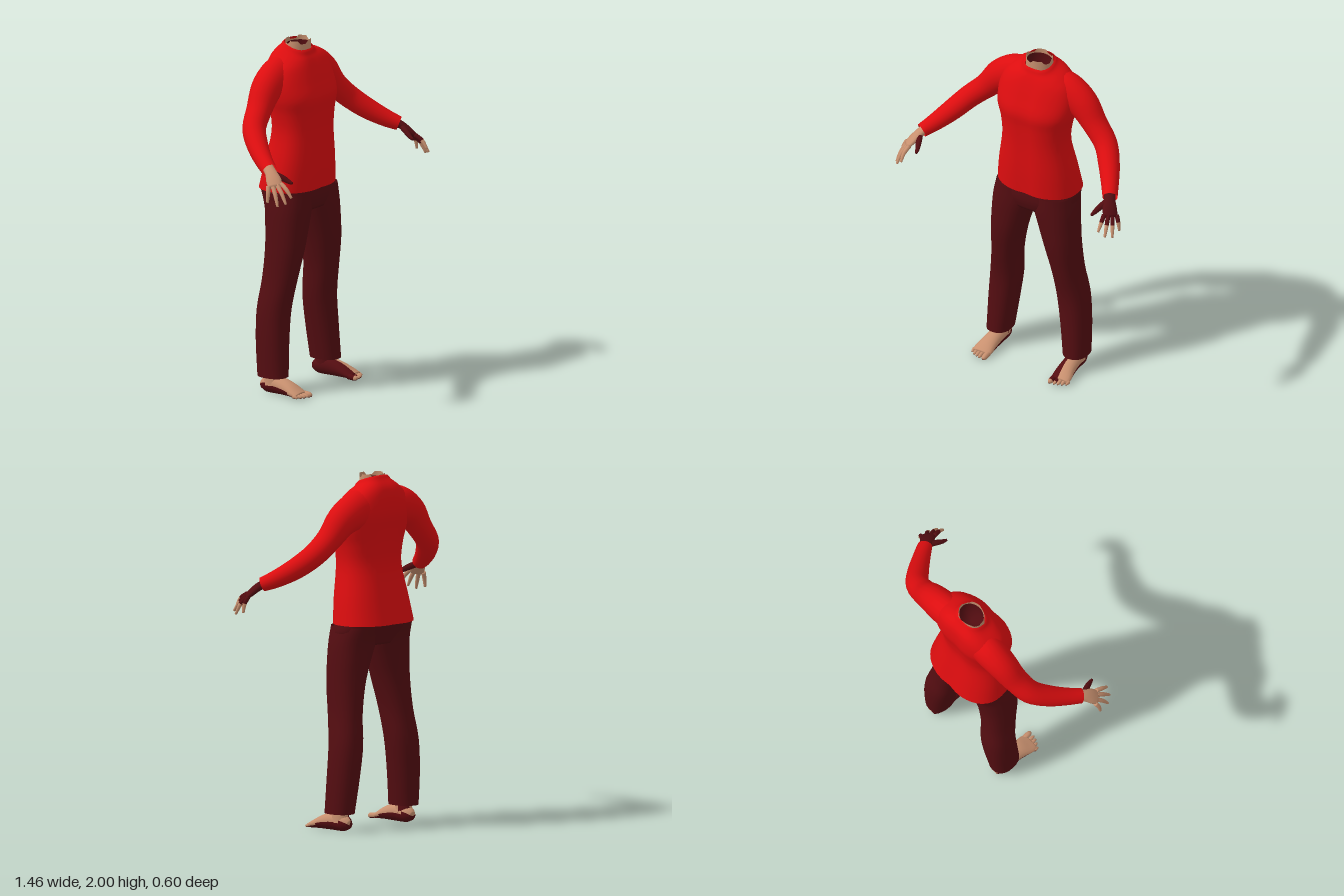
import * as THREE from 'three';

const mat = (name, color, side = THREE.FrontSide) => {
  const m = new THREE.MeshStandardMaterial({ color, side });
  m.name = name;
  return m;
};
const V = (x, y, z) => new THREE.Vector3(x, y, z);

// Catmull-Rom resampling of rows of numbers
function smooth(rows, steps) {
  const out = [], at = i => rows[Math.max(0, Math.min(rows.length - 1, i))];
  for (let i = 0; i < rows.length - 1; i++) {
    for (let k = 0; k < steps; k++) {
      const t = k / steps;
      out.push(at(i).map((b, c) => {
        const a = at(i - 1)[c], d = at(i + 1)[c], e = at(i + 2)[c];
        return b + 0.5 * t * (d - a + t * (2 * a - 5 * b + 4 * d - e + t * (3 * (b - d) + e - a)));
      }));
    }
  }
  out.push(rows[rows.length - 1]);
  return out;
}

// Skin over a list of rings; pick(ring, angle) selects the material index
function loft(name, rings, mats, { side = 1, pick = () => 0, capStart = false, capEnd = false } = {}) {
  const n = rings[0].length, pos = [], faces = mats.map(() => []);
  const add = (m, a, b, c) => faces[m].push(...(side > 0 ? [a, b, c] : [a, c, b]));
  rings.flat().forEach(p => pos.push(p.x * side, p.y, p.z));
  for (let i = 0; i < rings.length - 1; i++) {
    for (let j = 0; j < n; j++) {
      const a = i * n + j, b = i * n + (j + 1) % n;
      const m = pick(i / (rings.length - 1), ((j + 0.5) / n) * Math.PI * 2);
      add(m, a, b, b + n);
      add(m, a, b + n, a + n);
    }
  }
  const cap = (i, flip) => {
    const c = rings[i].reduce((s, p) => s.add(p), V(0, 0, 0)).divideScalar(n);
    const id = pos.length / 3;
    pos.push(c.x * side, c.y, c.z);
    for (let j = 0; j < n; j++) {
      const a = i * n + j, b = i * n + (j + 1) % n;
      const m = pick(i ? 1 : 0, ((j + 0.5) / n) * Math.PI * 2);
      flip ? add(m, id, b, a) : add(m, id, a, b);
    }
  };
  if (capStart) cap(0, true);
  if (capEnd) cap(rings.length - 1, false);
  const g = new THREE.BufferGeometry();
  g.setAttribute('position', new THREE.Float32BufferAttribute(pos, 3));
  g.setIndex(faces.flat());
  let start = 0;
  faces.forEach((f, m) => { if (f.length) g.addGroup(start, f.length, m); start += f.length; });
  g.computeVertexNormals();
  const mesh = new THREE.Mesh(g, mats.length > 1 ? mats : mats[0]);
  mesh.name = name;
  return mesh;
}

// Horizontal rings from rows [y, xMin, xMax, zFront, zBack, tilt]
function stack(rows, n, power = 2, groove = 0) {
  const e = 2 / power, bend = v => Math.sign(v) * Math.abs(v) ** e;
  return rows.map(([y, x0, x1, zf, zb, tilt = 0]) => Array.from({ length: n }, (_, j) => {
    const a = (j / n) * Math.PI * 2;
    const x = (x0 + x1) / 2 + (x1 - x0) / 2 * bend(Math.cos(a));
    const dent = 1 - groove * Math.exp(-((x / 0.05) ** 2));
    const z = (zf + zb) / 2 - (zf - zb) / 2 * bend(Math.sin(a)) * dent;
    return V(x, y - tilt * (z + 0.12), z);
  }));
}

// Rings along a path from rows [x, y, z, halfWidth, halfThickness]
function sweep(rows, n, hint) {
  return rows.map((r, i) => {
    const p = rows[Math.max(0, i - 1)], q = rows[Math.min(rows.length - 1, i + 1)];
    const d = V(q[0] - p[0], q[1] - p[1], q[2] - p[2]).normalize();
    const u = hint.clone().addScaledVector(d, -hint.dot(d)).normalize();
    const v = d.clone().cross(u);
    return Array.from({ length: n }, (_, j) => {
      const a = (j / n) * Math.PI * 2;
      return V(r[0], r[1], r[2]).addScaledVector(u, r[3] * Math.cos(a)).addScaledVector(v, r[4] * Math.sin(a));
    });
  });
}

export function createModel() {
  const group = new THREE.Group();
  group.name = 'figure';
  const red = mat('red sweater', 0xdd0d0f, THREE.DoubleSide);
  const maroon = mat('maroon', 0x540d11, THREE.DoubleSide);
  const skin = mat('skin', 0xc8906f, THREE.DoubleSide);
  const both = [skin, maroon];

  // Sweater body with tilted neckline
  const body = [
    [1.16, 0.25, 0.05, -0.3, 0], [1.3, 0.232, 0.055, -0.268, 0], [1.48, 0.202, 0.055, -0.23, 0],
    [1.6, 0.212, 0.06, -0.235, 0], [1.69, 0.235, 0.066, -0.248, 0], [1.78, 0.24, 0.035, -0.262, 0],
    [1.86, 0.215, 0.005, -0.256, 0.05], [1.91, 0.165, -0.015, -0.24, 0.15], [1.945, 0.11, -0.03, -0.208, 0.3],
    [1.965, 0.092, -0.038, -0.195, 0.35], [1.972, 0.084, -0.046, -0.188, 0.35],
  ].map(([y, w, f, b, t]) => [y, -w, w, f, b, t]);
  group.add(loft('sweaterBody', stack(smooth(body, 4), 40, 2.35, 0.06), [red]));

  // Open neck: skin outside, dark lining inside, uneven rim
  const neck = stack([[1.9, -0.08, 0.08, -0.05, -0.185], [1.96, -0.08, 0.08, -0.05, -0.185], [1.988, -0.078, 0.078, -0.05, -0.183]], 28);
  neck[2].forEach((p, j) => { p.y += j % 7 < 4 ? 0.012 : -0.006; });
  group.add(loft('neck', neck, [skin]));
  const lining = stack([[1.86, -0.072, 0.072, -0.056, -0.178], [1.975, -0.074, 0.074, -0.054, -0.179]], 28);
  group.add(loft('neckLining', lining, [maroon], { capStart: true }));

  // Trouser seat
  const seat = [[1.04, 0.2, 0.02, -0.2], [1.1, 0.25, 0.037, -0.235], [1.17, 0.245, 0.036, -0.275], [1.2, 0.23, 0.03, -0.26]]
    .map(([y, w, f, b]) => [y, -w, w, f, b]);
  group.add(loft('trouserSeat', stack(smooth(seat, 3), 36, 2.4), [maroon], { capStart: true, capEnd: true }));

  for (const side of [1, -1]) {
    const left = side > 0;
    const limb = new THREE.Group();
    limb.name = left ? 'leftLimbs' : 'rightLimbs';
    group.add(limb);
    const add = (name, rings, mats, opts) => limb.add(loft(name, rings, mats, { side, ...opts }));

    // Trouser leg
    add('trouserLeg', stack(smooth([
      [0.1, 0.182, 0.325, -0.02, -0.2], [0.3, 0.155, 0.322, -0.03, -0.218], [0.48, 0.13, 0.31, -0.03, -0.222],
      [0.65, 0.115, 0.285, 0, -0.203], [0.82, 0.078, 0.275, 0.028, -0.195], [0.96, 0.035, 0.268, 0.036, -0.205],
      [1.06, 0.004, 0.26, 0.038, -0.22], [1.15, 0.004, 0.245, 0.035, -0.255],
    ], 4), 24, 2.3), [maroon]);

    // Sleeve from shoulder to cuff
    add('sleeve', sweep(smooth([
      [0.08, 1.825, -0.145, 0.09, 0.1], [0.17, 1.805, -0.15, 0.092, 0.11], [0.27, 1.757, -0.145, 0.085, 0.093],
      [0.36, 1.66, -0.13, 0.073, 0.071], [0.45, 1.575, -0.1, 0.067, 0.065], [0.52, 1.5, -0.025, 0.06, 0.06],
      [0.58, 1.443, 0.06, 0.05, 0.05], [0.625, 1.408, 0.13, 0.043, 0.04],
    ], 4), 20, V(0, 0, 1)), [red]);

    // Hand: palm, four fingers and thumb
    const across = V(0.055, -0.01, -0.06);
    add('palm', sweep(smooth([
      [0.608, 1.42, 0.105, 0.032, 0.026], [0.632, 1.397, 0.145, 0.034, 0.023],
      [0.655, 1.365, 0.18, 0.043, 0.02], [0.676, 1.335, 0.205, 0.04, 0.014],
    ], 3), 14, across), [left ? maroon : skin], { capEnd: true });
    const tips = [[0.655, 1.28, 0.302], [0.69, 1.25, 0.288], [0.716, 1.236, 0.25], [0.722, 1.25, 0.185]];
    tips.forEach(([x, y, z], k) => {
      const t = k / 3, bx = 0.646 + 0.05 * t, by = 1.35 - 0.012 * t, bz = 0.226 - 0.054 * t;
      const mid = [(bx + x) / 2 + 0.004, (by + y) / 2 + 0.008, (bz + z) / 2 + 0.004];
      add('finger', sweep(smooth([
        [bx, by, bz, 0.013, 0.013], [...mid, 0.012, 0.012], [x, y, z, 0.007, 0.007],
      ], 4), 8, across), both, { pick: f => (left && f < 0.5 ? 1 : 0), capStart: true, capEnd: true });
    });
    add('thumb', sweep(smooth([
      [0.625, 1.395, 0.15, 0.02, 0.018], [0.602, 1.372, 0.2, 0.018, 0.016], [0.588, 1.352, 0.235, 0.013, 0.012],
      [0.582, 1.343, 0.258, 0.007, 0.007],
    ], 3), 10, across), [maroon], { capStart: true, capEnd: true });

    // Ankle, partly maroon on its inner side
    const anklePick = (f, a) => (Math.cos(a) < -0.1 && (left || Math.sin(a) > 0) ? 1 : 0);
    add('ankle', stack([[0.05, 0.205, 0.297, -0.05, -0.175], [0.1, 0.21, 0.292, -0.06, -0.165], [0.18, 0.213, 0.29, -0.065, -0.16]], 18),
      both, { pick: anklePick });

    // Foot: skin above, maroon sole, maroon inner edge on the left
    const footPick = (f, a) => {
      const sole = Math.sin(a) < (f > 0.65 ? -0.5 : f < 0.25 ? 0.35 : 0);
      return sole || (left && Math.cos(a) < -0.3) ? 1 : 0;
    };
    add('foot', sweep(smooth([
      [0.25, 0.038, -0.185, 0.022, 0.024], [0.25, 0.046, -0.15, 0.042, 0.045], [0.25, 0.052, -0.08, 0.046, 0.051],
      [0.254, 0.042, 0, 0.052, 0.041], [0.26, 0.026, 0.06, 0.058, 0.025], [0.261, 0.018, 0.088, 0.055, 0.017],
    ], 4), 18, V(1, 0, 0)), both, { pick: footPick, capStart: true, capEnd: true });
    for (let k = 0; k < 5; k++) {
      const r = k ? 0.0105 : 0.016, x = k ? 0.228 + k * 0.021 : 0.22, z = 0.13 - 0.002 * k * k;
      add('toe', sweep(smooth([
        [x, 0.02, 0.07, r, r], [x, 0.017, z - 0.016, r, r], [x, 0.013, z, r * 0.5, r * 0.5],
      ], 3), 10, V(1, 0, 0)), both, { pick: (f, a) => (left && k < 2 && f < 0.5 || Math.sin(a) < -0.6 ? 1 : 0), capEnd: true });
    }
  }
  return group;
}
